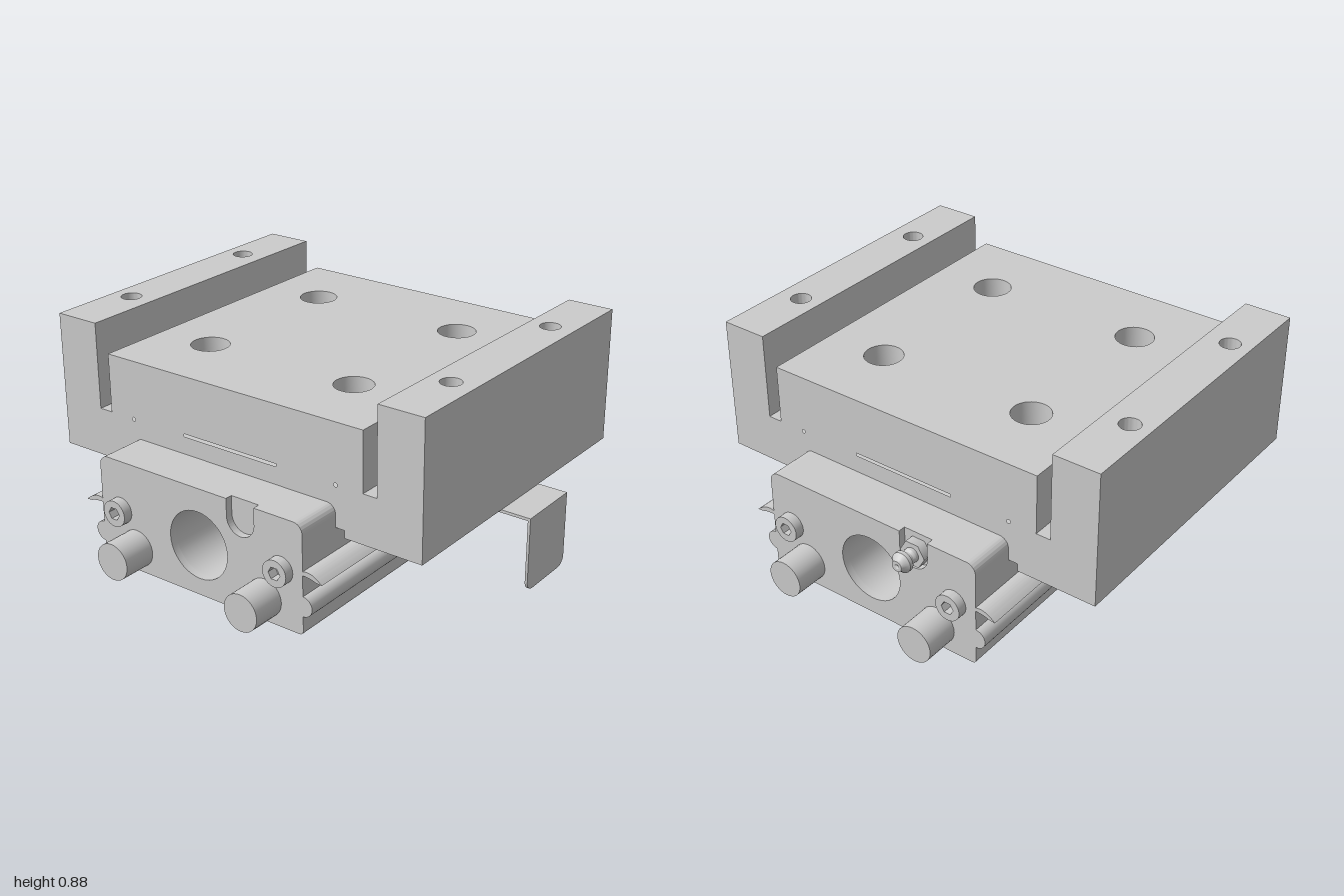
import * as THREE from 'three';
import { toCreasedNormals } from 'three/addons/utils/BufferGeometryUtils.js';

const material = new THREE.MeshStandardMaterial({ color: 0xcccccc });
const thin = new THREE.MeshStandardMaterial({ color: 0xcccccc, side: THREE.DoubleSide });

// Carriage spans z BACK..FRONT; the body is centred on z = MID
const FRONT = 0.805, BACK = -0.925, MID = -0.06, HALF_W = 0.665;

export function createModel() {
  const model = new THREE.Group();

  const add = (name, geometry, mat = material, parent = model) => {
    const mesh = new THREE.Mesh(geometry, mat);
    mesh.name = name;
    parent.add(mesh);
    return mesh;
  };

  const circle = (x, y, r) => new THREE.Path().absarc(x, y, r, 0, Math.PI * 2, true);
  const extrude = (shape, depth) => toCreasedNormals(
    new THREE.ExtrudeGeometry(shape, { depth, bevelEnabled: false, curveSegments: 20 }), 0.6);

  // Side profile drawn in (-z, y), swept from x0 to x1
  const sweepX = (shape, x0, x1) => extrude(shape, x1 - x0).rotateY(Math.PI / 2).translate(x0, 0, 0);

  // Plate drawn from above, with round holes given as [x, z, radius]
  const slab = (z0, z1, y0, y1, holes = [], w = HALF_W) => {
    const s = new THREE.Shape();
    s.moveTo(-w, -z1).lineTo(w, -z1).lineTo(w, -z0).lineTo(-w, -z0).closePath();
    for (const [x, z, r] of holes) s.holes.push(circle(x, -z, r));
    return extrude(s, y1 - y0).rotateX(-Math.PI / 2).translate(0, y0, 0);
  };

  // Cylinder lying along x
  const rod = (x0, x1, y, z, r, n = 32) =>
    new THREE.CylinderGeometry(r, r, x1 - x0, n).rotateZ(Math.PI / 2).translate((x0 + x1) / 2, y, z);

  // ---- Carriage: lower profile with side slots, slit and pin holes
  const profile = new THREE.Shape([
    [FRONT, 0.36], [FRONT, 0.6], [0.61, 0.6], [0.61, 0.53], [0.55, 0.53], [0.55, 0.6],
    [-0.67, 0.6], [-0.67, 0.53], [-0.73, 0.53], [-0.73, 0.6], [BACK, 0.6], [BACK, 0.36],
  ].map(([z, y]) => new THREE.Vector2(-z, y)));
  const slit = new THREE.Path();
  slit.moveTo(-0.16, 0.525).lineTo(-0.16, 0.537).lineTo(0.29, 0.537).lineTo(0.29, 0.525).closePath();
  profile.holes.push(slit, circle(-0.43, 0.53, 0.008), circle(0.55, 0.53, 0.008));
  add('carriageBase', sweepX(profile, -HALF_W, HALF_W));

  // Feet under the base, the back one with two small fixing holes
  add('frontFoot', slab(0.47, FRONT, 0.328, 0.36));
  add('backFoot', slab(BACK, -0.59, 0.328, 0.36, [[-0.05, -0.83, 0.018], [0.05, -0.83, 0.018]]));

  // Table with counterbored holes
  const bolts = r => [-0.35, 0.35].flatMap(x => [[x, -0.42, r], [x, 0.28, r]]);
  add('tableLower', slab(-0.67, 0.55, 0.6, 0.67, bolts(0.05)));
  add('tableUpper', slab(-0.67, 0.55, 0.67, 0.775, bolts(0.078)));

  // Tall walls with drilled holes ending in a cone
  for (const [name, z0, z1, zh] of [['frontWall', 0.61, FRONT, 0.703], ['backWall', BACK, -0.73, -0.838]]) {
    add(name, slab(z0, z1, 0.6, 0.888, [[-0.35, zh, 0.042], [0.35, zh, 0.042]]));
    for (const x of [-0.35, 0.35]) {
      add('drillTip', new THREE.CylinderGeometry(0.042, 0.001, 0.07, 24, 1, true)
        .translate(x, 0.64, zh), thin);
    }
  }

  // ---- Body: rounded block with a through bore; end caps carry a port notch
  const bodyShape = notch => {
    const l = -0.43, r = 0.55, b = 0.005, t = 0.452, c = 0.04;
    const s = new THREE.Shape();
    s.moveTo(l + 0.02, b).lineTo(r - 0.02, b).quadraticCurveTo(r, b, r, b + 0.02);
    s.lineTo(r, t - c).absarc(r - c, t - c, c, 0, Math.PI / 2);
    if (notch !== undefined) {
      const u = -notch;
      s.lineTo(u + 0.064, t).lineTo(u + 0.064, 0.38);
      s.absarc(u, 0.38, 0.064, 0, Math.PI, true);
      s.lineTo(u - 0.064, t);
    }
    s.lineTo(l + c, t).absarc(l + c, t - c, c, Math.PI / 2, Math.PI);
    s.lineTo(l, b + 0.02).quadraticCurveTo(l, b, l + 0.02, b);
    s.holes.push(circle(-MID, 0.215, 0.14));
    return s;
  };
  add('body', sweepX(bodyShape(), -0.83, 0.83));
  add('rightEndCap', sweepX(bodyShape(0.147), -0.86, -0.83));
  add('leftEndCap', sweepX(bodyShape(-0.27), 0.83, 0.86));

  // ---- Side ridges and curved wiper lips along both long sides
  for (const side of [1, -1]) {
    const zFace = MID + side * 0.49;
    add('sideRidge', rod(-0.86, 0.86, 0.124, zFace, 0.041));
    const lip = new THREE.Shape();
    const u = d => -(zFace + side * d);
    lip.moveTo(u(-0.01), 0.262).quadraticCurveTo(u(0.035), 0.285, u(0.085), 0.238);
    lip.lineTo(u(0.06), 0.24).quadraticCurveTo(u(0.03), 0.252, u(-0.01), 0.25);
    add('wiperLip', sweepX(lip, -0.86, 0.86), thin);
  }

  // ---- End fittings: bumpers and socket screws on both ends
  for (const side of [1, -1]) {
    const end = new THREE.Group();
    end.name = side > 0 ? 'leftEndFittings' : 'rightEndFittings';
    if (side < 0) end.rotation.y = Math.PI;
    end.position.z = MID;
    model.add(end);
    for (const k of [1, -1]) {
      add('bumper', rod(0.84, 1, 0.103, k * 0.315, 0.076), material, end);
      const head = new THREE.Shape().absarc(-k * 0.392, 0.243, 0.054, 0, Math.PI * 2);
      const socket = new THREE.Path();
      for (let i = 0; i < 6; i++) {
        const a = -i * Math.PI / 3;
        const p = [-k * 0.392 + 0.027 * Math.cos(a), 0.243 + 0.027 * Math.sin(a)];
        i ? socket.lineTo(...p) : socket.moveTo(...p);
      }
      socket.closePath();
      head.holes.push(socket);
      add('screwHead', sweepX(head, 0.86, 0.9), material, end);
    }
  }

  // ---- Grease nipple on the left end
  add('nippleNut', rod(0.82, 0.868, 0.38, -0.27, 0.056, 6));
  const nipple = [[0.03, 0], [0.03, 0.02], [0.024, 0.03], [0.024, 0.04], [0.042, 0.052], [0.042, 0.068],
    [0.026, 0.085], [0.022, 0.095], [0.01, 0.095], [0, 0.088]].map(p => new THREE.Vector2(...p));
  add('greaseNipple', toCreasedNormals(
    new THREE.LatheGeometry(nipple, 24).rotateZ(-Math.PI / 2).translate(0.86, 0.38, -0.27), 0.5));

  // ---- Bent sheet bracket below the front wall
  const tab = new THREE.Shape();
  tab.moveTo(-0.137, 0.328).lineTo(-0.137, 0.06).absarc(-0.097, 0.06, 0.04, Math.PI, Math.PI * 1.5);
  tab.lineTo(0.097, 0.02).absarc(0.097, 0.06, 0.04, -Math.PI / 2, 0).lineTo(0.137, 0.328);
  add('bracketTab', extrude(tab, 0.011).translate(0, 0, 0.919));
  add('bracketTop', slab(0.655, 0.92, 0.316, 0.328, [], 0.137));

  return model;
}
